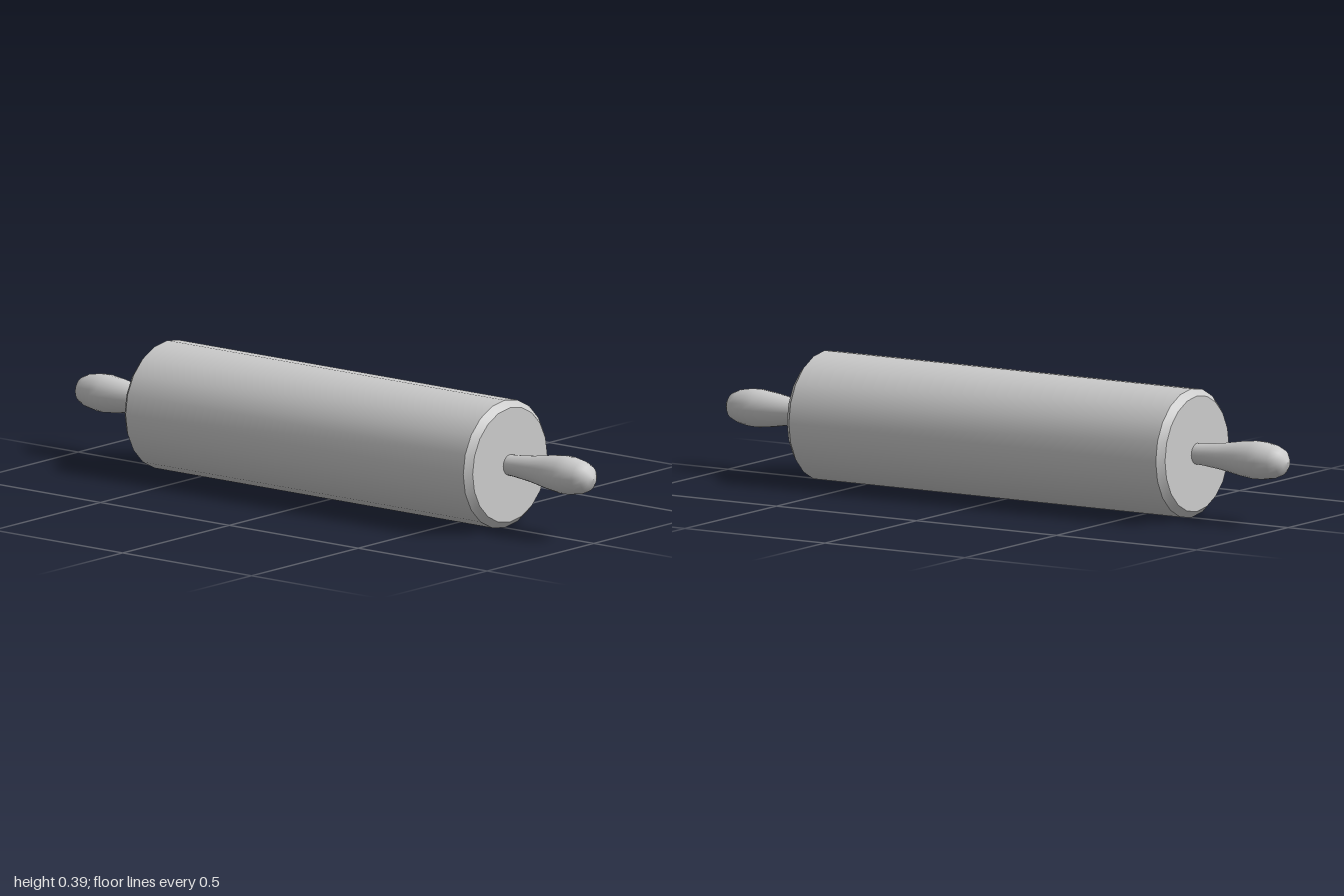
import * as THREE from 'three';
import { toCreasedNormals } from 'three/addons/utils/BufferGeometryUtils.js';

const SIDES = 20;
const AXIS_Y = 0.195;

// Revolve [radius, distance] pairs around the y axis
const lathe = (profile) =>
  new THREE.LatheGeometry(profile.map(([r, h]) => new THREE.Vector2(r, h)), SIDES);

export function createModel() {
  const group = new THREE.Group();
  group.name = 'rollingPin';
  const material = new THREE.MeshStandardMaterial({ color: 0xcccccc });

  // Roller: chamfered cylinder lying along z
  const rollerGeometry = toCreasedNormals(lathe([
    [0, -0.675], [0.175, -0.675], [0.195, -0.655],
    [0.195, 0.655], [0.175, 0.675], [0, 0.675],
  ]), 0.5);
  const roller = new THREE.Mesh(rollerGeometry, material);
  roller.name = 'roller';
  roller.rotation.x = Math.PI / 2;
  roller.position.y = AXIS_Y;
  group.add(roller);

  // Handles: slim neck swelling to a rounded grip, one at each end
  const handleGeometry = lathe([
    [0.031, 0.66], [0.033, 0.7], [0.04, 0.765], [0.052, 0.835], [0.058, 0.885],
    [0.057, 0.915], [0.05, 0.955], [0.039, 0.98], [0.021, 0.994], [0, 1],
  ]);
  for (const [name, side] of [['frontHandle', 1], ['backHandle', -1]]) {
    const handle = new THREE.Mesh(handleGeometry, material);
    handle.name = name;
    handle.rotation.x = side * Math.PI / 2;
    handle.position.y = AXIS_Y;
    group.add(handle);
  }

  return group;
}
